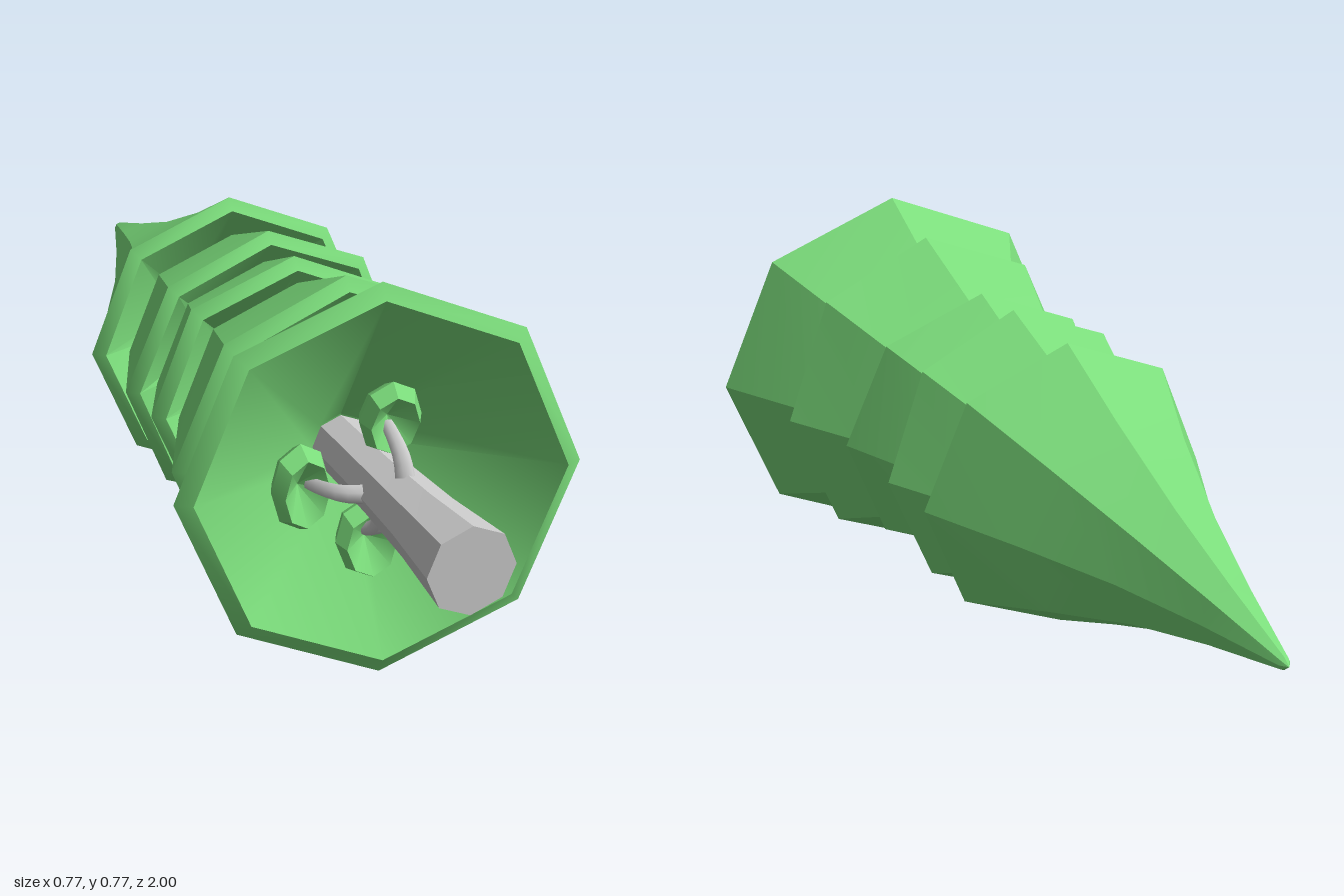
import * as THREE from 'three';
import { toCreasedNormals } from 'three/addons/utils/BufferGeometryUtils.js';

const SIDES = 8;
const AXIS_Y = 0.387; // height of the lying tree's axis

// Skin octagonal rings [z, radius, cx, cy, tiltX, tiltY]; sx, sy stretch them
function loft(rings, sx = 1, sy = 1) {
  const point = ([z, r, cx = 0, cy = 0, tx = 0, ty = 0], k) => {
    const a = (k % SIDES) * Math.PI * 2 / SIDES;
    const x = r * Math.sin(a) * sx, y = r * Math.cos(a) * sy;
    return [cx + x, cy + y, z + tx * x + ty * y];
  };
  const pos = [];
  for (let i = 0; i < rings.length - 1; i++) {
    for (let k = 0; k < SIDES; k++) {
      const a = point(rings[i], k), b = point(rings[i], k + 1);
      const c = point(rings[i + 1], k + 1), d = point(rings[i + 1], k);
      if (rings[i][1] > 0) pos.push(...a, ...b, ...c);
      if (rings[i + 1][1] > 0) pos.push(...a, ...c, ...d);
      else if (rings[i][1] === 0) pos.push(...a, ...c, ...d);
    }
  }
  const g = new THREE.BufferGeometry();
  g.setAttribute('position', new THREE.Float32BufferAttribute(pos, 3));
  return toCreasedNormals(g, 0.55);
}

// Tube that narrows toward its end
function taperedTube(points, r0, r1) {
  const curve = new THREE.CatmullRomCurve3(points.map(p => new THREE.Vector3(...p)));
  const segs = 8, radial = 6;
  const g = new THREE.TubeGeometry(curve, segs, 1, radial);
  const p = g.attributes.position, v = new THREE.Vector3();
  for (let i = 0; i < p.count; i++) {
    const t = Math.floor(i / (radial + 1)) / segs;
    const c = curve.getPointAt(t);
    v.fromBufferAttribute(p, i).sub(c).multiplyScalar(r0 + (r1 - r0) * t).add(c);
    p.setXYZ(i, v.x, v.y, v.z);
  }
  g.computeVertexNormals();
  return g;
}

export function createModel() {
  const model = new THREE.Group();
  const tree = new THREE.Group();
  tree.name = 'tree';
  tree.position.y = AXIS_Y;
  model.add(tree);

  const green = new THREE.MeshStandardMaterial({ color: 0x7bdc7b });
  green.name = 'leaf green';
  const grey = new THREE.MeshStandardMaterial({ color: 0xcccccc });
  grey.name = 'bark grey';
  const add = (name, geometry, material) => {
    const mesh = new THREE.Mesh(geometry, material);
    mesh.name = name;
    tree.add(mesh);
  };

  // Trunk, flaring at the foot
  add('trunk', loft([[1, 0], [1, 0.084], [0.82, 0.068], [0.64, 0.06], [0.3, 0.055], [0.3, 0]]), grey);

  // Foliage tiers: hollow tilted skirts with a bevelled lip
  const tiers = [
    { z: 0.613, r: 0.386, tx: 0.104, ty: -0.02, back: [[0.42, 0.28], [0.3, 0.2], [0.3, 0]] },
    { z: 0.42, r: 0.342, tx: -0.05, ty: 0.06, back: [[0.2, 0.245], [0.1, 0.19], [0.1, 0]] },
    { z: 0.2, r: 0.294, tx: 0.075, ty: -0.06, back: [[0.02, 0.228], [-0.07, 0.18], [-0.07, 0]] },
    { z: 0.024, r: 0.301, tx: -0.06, ty: 0.066, back: [[-0.165, 0.225], [-0.26, 0.17], [-0.26, 0]] },
    { z: -0.167, r: 0.302, tx: 0.033, ty: -0.04,
      back: [[-0.38, 0.21, 0.003, -0.004], [-0.6, 0.124, 0.008, -0.009],
        [-0.8, 0.062, 0.014, -0.015], [-0.985, 0.012, 0.02, -0.022], [-1, 0, 0.02, -0.022]] },
  ];
  tiers.forEach(({ z, r, tx, ty, back }, i) => {
    add('foliageTier' + (i + 1), loft([
      [z - 0.2, 0], [z - 0.19, 0.06],
      [z + 0.018, r * 0.92, 0, 0, tx, ty],
      [z, r, 0, 0, tx, ty],
      ...back,
    ]), green);
  });

  // Small branches, each ending in a cupped leaf cluster
  const branches = [
    { name: 'upper', dx: 0, dy: 1, z: 0.675, sx: 0.061, sy: 0.073, reach: 0.143 },
    { name: 'right', dx: -1, dy: 0, z: 0.605, sx: 0.06, sy: 0.085, reach: 0.145 },
    { name: 'lower', dx: 0, dy: -1, z: 0.58, sx: 0.064, sy: 0.074, reach: 0.138 },
  ];
  for (const { name, dx, dy, z, sx, sy, reach } of branches) {
    const path = [[0.04, 0.05], [0.085, 0.03], [0.115, -0.015], [0.13, -0.06]];
    add(name + 'Branch', taperedTube(path.map(([d, h]) => [dx * d, dy * d, z + h]), 0.02, 0.012), grey);
    const cx = dx * reach, cy = dy * reach, tx = dx * 0.15, ty = dy * 0.15;
    add(name + 'LeafCluster', loft([
      [z - 0.04, 0, cx, cy],
      [z, 0.78, cx - dx * 0.006, cy - 0.008, tx, ty],
      [z - 0.025, 1, cx, cy, tx, ty],
      [z - 0.06, 0.75, cx, cy, tx, ty],
      [z - 0.09, 0, cx, cy],
    ], sx, sy), green);
  }
  return model;
}
